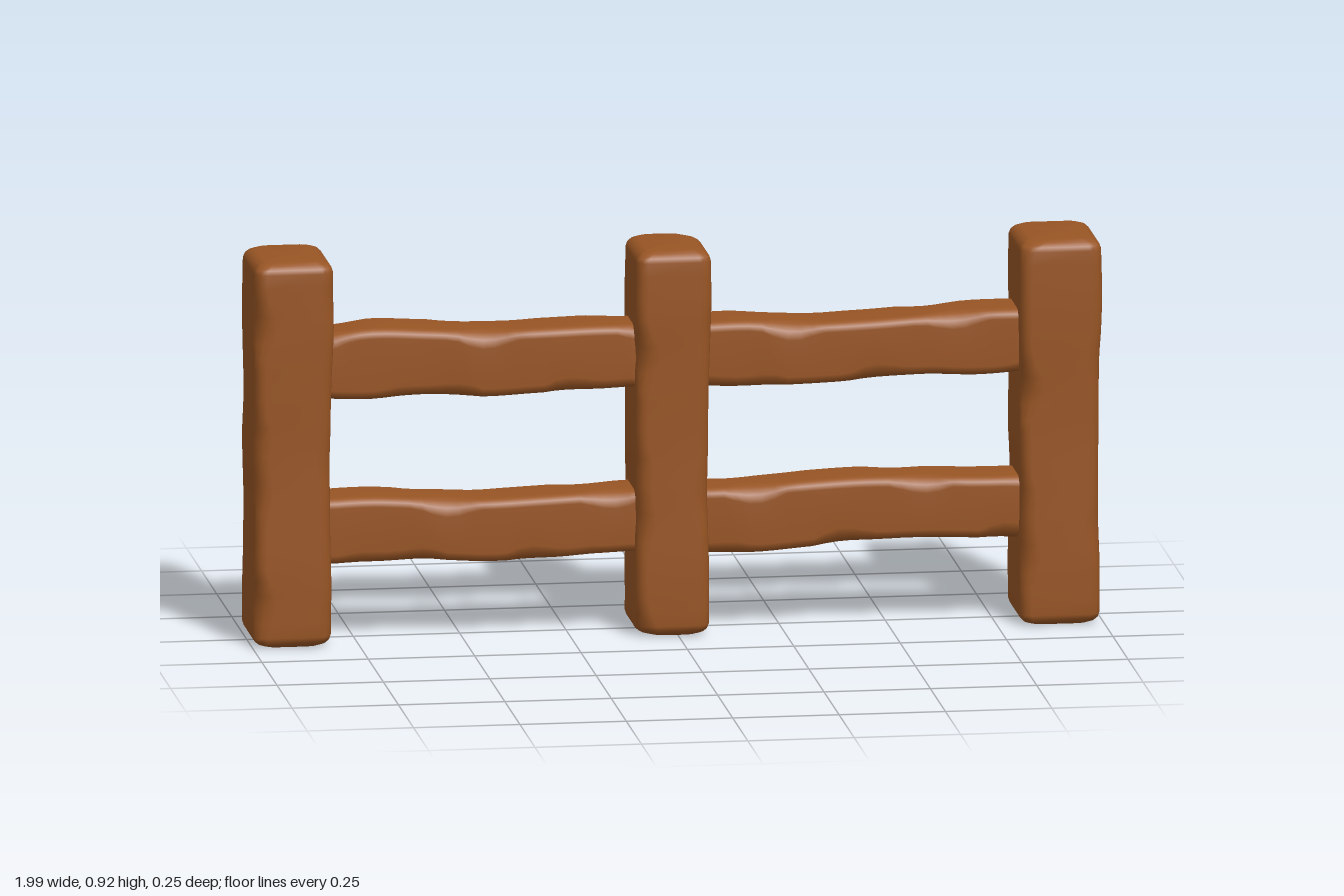
import * as THREE from 'three';

const AXIS = { post: (u, v, s) => [v, s, u], rail: (u, v, s) => [s, u, v] };

// Catmull-Rom value of evenly spaced samples at t in 0..1
function sample(values, t) {
  const n = values.length - 1, f = Math.min(t * n, n - 1e-6), i = Math.floor(f), k = f - i;
  const p = (j) => values[Math.max(0, Math.min(n, j))];
  const [a, b, c, d] = [p(i - 1), p(i), p(i + 1), p(i + 2)];
  return b + 0.5 * k * (c - a + k * (2 * a - 5 * b + 4 * c - d + k * (3 * (b - c) + d - a)));
}

// Rough-hewn beam: rounded rectangles lofted along s, with uneven sides and worn corners.
// uLo, uHi, vLo, vHi are lists of side positions along the length; wear is one depth per corner.
function beam({ axis, s0, s1, uLo, uHi, vLo, vHi, radius, wear, seed }) {
  const positions = [], index = [], arc = 4, perRing = arc * 4;
  const corners = [[1, 1], [-1, 1], [-1, -1], [1, -1]];
  const length = s1 - s0, steps = 26, stations = [];
  // Rounded ends
  [0, 0.25, 0.6].forEach((d, i) => stations.push([d * radius, radius * [1, 0.45, 0.12][i]]));
  for (let i = 0; i <= steps; i++) stations.push([radius + (length - 2 * radius) * i / steps, 0]);
  [0.6, 0.25, 0].forEach((d, i) => stations.push([length - d * radius, radius * [0.12, 0.45, 1][i]]));

  const put = (u, v, s) => positions.push(...axis(u, v, s));
  for (const [d, inset] of stations) {
    const t = d / length;
    const lo = [sample(uLo, t) + inset, sample(vLo, t) + inset];
    const hi = [sample(uHi, t) - inset, sample(vHi, t) - inset];
    corners.forEach(([cu, cv], c) => {
      const wave = Math.sin(d * 17 + seed + c * 2.1) + 0.6 * Math.sin(d * 31 + seed * 1.7 + c);
      const r = radius + wear[c] * Math.max(0, wave);
      const mu = cu > 0 ? hi[0] - r : lo[0] + r;
      const mv = cv > 0 ? hi[1] - r : lo[1] + r;
      for (let j = 0; j < arc; j++) {
        const a = (c + j / (arc - 1)) * Math.PI / 2;
        put(mu + r * Math.cos(a), mv + r * Math.sin(a), s0 + d);
      }
    });
  }
  const rings = stations.length;
  for (let i = 0; i < rings - 1; i++) {
    for (let j = 0; j < perRing; j++) {
      const a = i * perRing + j, b = i * perRing + (j + 1) % perRing;
      index.push(a, b, b + perRing, a, b + perRing, a + perRing);
    }
  }
  // End caps
  const first = rings * perRing, last = (rings - 1) * perRing;
  for (const [t, s] of [[0, s0], [1, s1]]) {
    put((sample(uLo, t) + sample(uHi, t)) / 2, (sample(vLo, t) + sample(vHi, t)) / 2, s);
  }
  for (let j = 0; j < perRing; j++) {
    const k = (j + 1) % perRing;
    index.push(first, k, j, first + 1, last + j, last + k);
  }
  const geometry = new THREE.BufferGeometry();
  geometry.setAttribute('position', new THREE.Float32BufferAttribute(positions, 3));
  geometry.setIndex(index);
  geometry.computeVertexNormals();
  return geometry;
}

export function createModel() {
  const fence = new THREE.Group();
  fence.name = 'woodenFence';
  const wood = new THREE.MeshStandardMaterial({ color: 0x985524 });
  wood.name = 'brownWood';
  const add = (name, options) => {
    const mesh = new THREE.Mesh(beam(options), wood);
    mesh.name = name;
    fence.add(mesh);
  };

  // Upright posts
  const posts = [
    ['rightPost', -0.998, -0.815, 0.12, 0.4],
    ['middlePost', -0.1, 0.073, 0.117, 2.2],
    ['leftPost', 0.802, 0.99, 0.122, 4.1],
  ];
  for (const [name, x0, x1, z, seed] of posts) {
    add(name, {
      axis: AXIS.post, s0: 0.003, s1: 0.92, radius: 0.026, seed,
      wear: [0.006, 0.022, 0.006, 0.022],
      uLo: [-z + 0.002, -z, -z + 0.004, -z + 0.002, -z + 0.005, -z, -z],
      uHi: [z, z + 0.002, z, z - 0.002, z, z + 0.002, z],
      vLo: [x0, x0, x0 + 0.003, x0, x0 + 0.002, x0, x0 + 0.002],
      vHi: [x1, x1, x1 - 0.003, x1 - 0.002, x1, x1 + 0.006, x1 + 0.004],
    });
  }

  // Horizontal rails: bottom and top heights from -x to +x
  const rails = [
    ['upperRightRail', -0.85, -0.06, 1,
      [0.585, 0.58, 0.585, 0.577, 0.583, 0.586, 0.59], [0.735, 0.749, 0.742, 0.735, 0.738, 0.74, 0.738]],
    ['lowerRightRail', -0.85, -0.06, 2.6,
      [0.19, 0.19, 0.193, 0.186, 0.186, 0.194, 0.2], [0.345, 0.347, 0.34, 0.335, 0.338, 0.342, 0.346]],
    ['upperLeftRail', 0.03, 0.85, 3.9,
      [0.585, 0.582, 0.585, 0.59, 0.598, 0.594, 0.602], [0.738, 0.74, 0.732, 0.734, 0.74, 0.749, 0.75]],
    ['lowerLeftRail', 0.03, 0.85, 5.3,
      [0.19, 0.187, 0.196, 0.206, 0.21, 0.206, 0.198], [0.343, 0.346, 0.355, 0.359, 0.357, 0.353, 0.352]],
  ];
  for (const [name, s0, s1, seed, uLo, uHi] of rails) {
    const sway = uLo.map((_, i) => 0.005 * Math.sin(i * 1.7 + seed));
    add(name, {
      axis: AXIS.rail, s0, s1, radius: 0.022, seed, uLo, uHi,
      wear: [0.012, 0.014, 0.01, 0.014],
      vLo: sway.map((w) => -0.071 + w), vHi: sway.map((w) => 0.077 + w * 0.8),
    });
  }
  return fence;
}
